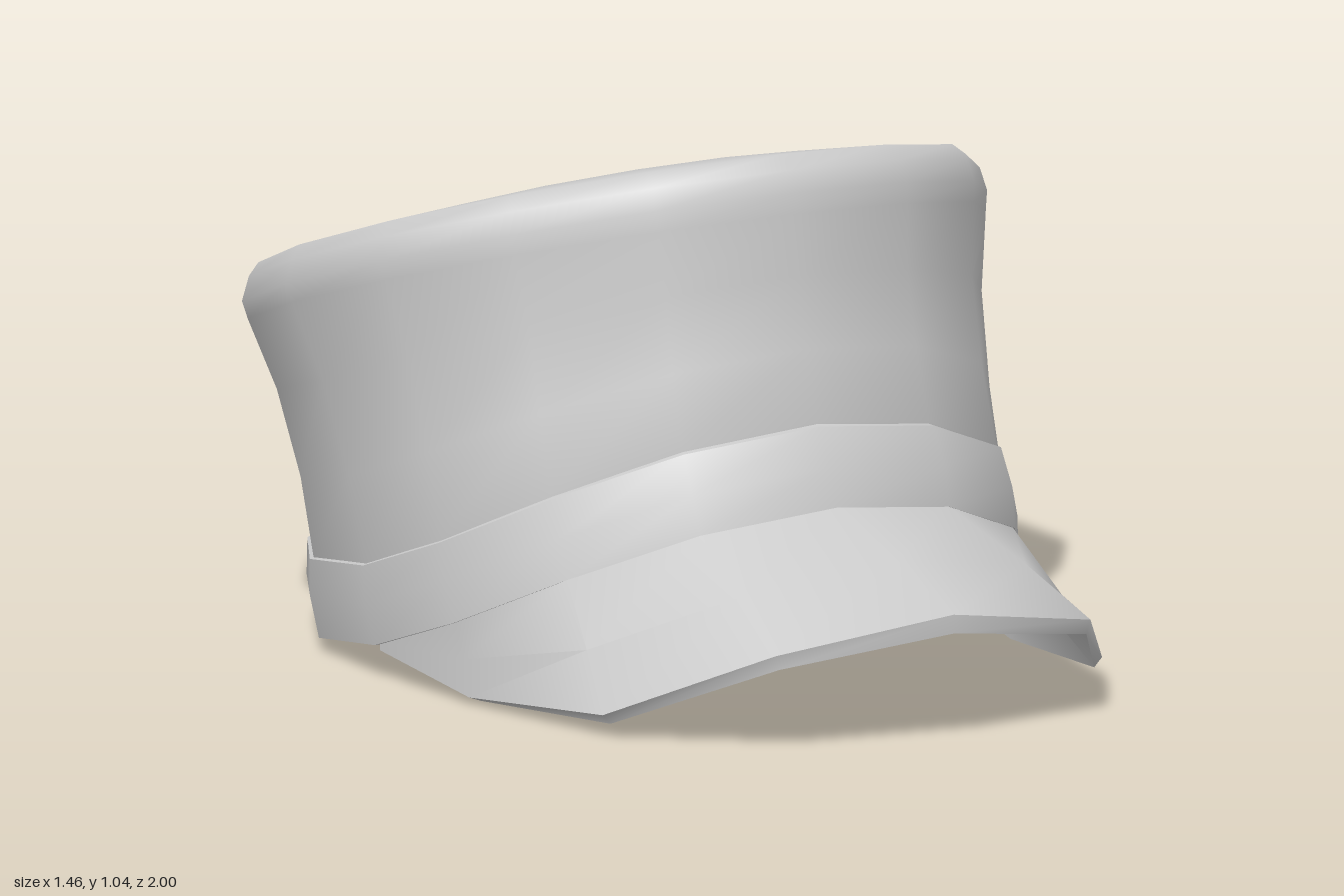
import * as THREE from 'three';
import { toCreasedNormals } from 'three/addons/utils/BufferGeometryUtils.js';

const SIDES = 16;
const material = new THREE.MeshStandardMaterial({ color: 0xcccccc });
// Height curve of the band from front to back, one value per 1/16 turn
const SWEEP = [1, 0.91, 0.68, 0.4, 0.17, 0.065, 0.025, 0.008, 0];

// One tilted ring: front z, back z, half width, front y, back y,
// flat (0 = follows the band's sweep, fuller and wider at the front, 1 = a plain tilted ellipse)
function ring([zf, zb, rx, yf, yb, flat]) {
  const points = [];
  for (let k = 0; k <= SIDES; k++) {
    const a = (k / SIDES) * Math.PI * 2;
    const c = Math.cos(a);
    const s = Math.sin(a);
    const t = THREE.MathUtils.lerp(SWEEP[Math.min(k, SIDES - k)], (1 + c) / 2, flat);
    const full = 1 + (1 - flat) * c * (c > 0 ? 0.12 : -0.04);
    const forward = (1 - flat) * 0.065 * s * s;
    points.push(new THREE.Vector3(rx * full * s, yb + (yf - yb) * t, (zf + zb) / 2 + ((zf - zb) / 2) * c + forward));
  }
  return points;
}

// Skin over rows of points
function loft(name, rows, crease) {
  const n = rows[0].length;
  const index = [];
  for (let i = 0; i < rows.length - 1; i++) {
    for (let k = 0; k < n - 1; k++) {
      const a = i * n + k, b = a + 1, c = a + n, d = c + 1;
      index.push(a, b, d, a, d, c);
    }
  }
  const geometry = new THREE.BufferGeometry().setFromPoints(rows.flat());
  geometry.setIndex(index);
  const mesh = new THREE.Mesh(toCreasedNormals(geometry, crease), material);
  mesh.name = name;
  return mesh;
}

// Crown wall from the band up to the rim
const CROWN_WALL = [
  [0.468, -0.88, 0.635, 0.49, 0.11, 0],
  [0.472, -0.893, 0.645, 0.545, 0.16, 0],
  [0.43, -0.905, 0.655, 0.68, 0.28, 0.3],
  [0.405, -0.945, 0.68, 0.82, 0.4, 0.7],
  [0.397, -0.99, 0.722, 0.94, 0.495, 1],
  [0.39, -1, 0.73, 0.98, 0.525, 1],
  [0.375, -0.987, 0.716, 1.022, 0.577, 1],
  [0.335, -0.965, 0.695, 1.046, 0.603, 1],
];
const TOP_CENTRE = [-0.32, -0.32, 0, 0.855, 0.855, 1];
const INNER_LIP = [0.503, -0.85, 0.605, 0.4, 0.035, 0];

// Visor edges, from the centre to the model's left side
const VISOR_INNER = [[0, 0.39, 0.535], [0.275, 0.358, 0.495], [0.495, 0.268, 0.37], [0.622, 0.16, 0.16], [0.64, 0.078, -0.1]];
const VISOR_OUTER = [[0, 0.26, 1], [0.35, 0.2, 0.92], [0.555, 0.05, 0.61], [0.615, 0.018, 0.2], [0.64, 0.06, -0.1]];

function mirrorRow(half) {
  const left = half.map((p) => new THREE.Vector3(...p));
  const right = left.slice(1).reverse().map((p) => new THREE.Vector3(-p.x, p.y, p.z));
  return [...right, ...left];
}

function createVisor() {
  const inner = mirrorRow(VISOR_INNER);
  const outer = mirrorRow(VISOR_OUTER);
  const middle = inner.map((p, k) => {
    const m = p.clone().lerp(outer[k], 0.55);
    m.y += 0.008;
    return m;
  });
  // Thickness goes down at the centre and inwards at the sides
  const under = (row) => row.map((p, k) => {
    const s = (k - 4) / 4;
    const drop = 0.037 * (1 - Math.abs(s));
    return new THREE.Vector3(p.x - 0.035 * s, Math.max(p.y - drop, 0.008), p.z);
  });
  // Underside runs on to the inner lip of the band
  const tuck = inner.map((p) => new THREE.Vector3(p.x * 0.935, p.y + 0.02, p.z - 0.045));
  return loft('visor', [tuck, under(inner), under(middle), under(outer), outer, middle, inner], 0.75);
}

export function createModel() {
  const group = new THREE.Group();
  group.name = 'cap';

  // Crown: flared wall, rounded rim and gently domed top
  const dome = [0.12, -0.76, 0.46, 1.002, 0.69, 1];
  group.add(loft('crown', [...CROWN_WALL, dome, TOP_CENTRE].map(ring), 1));

  // Band with a thick lower edge
  group.add(loft('band', [
    INNER_LIP,
    [0.515, -0.86, 0.615, 0.385, 0.005, 0],
    [0.55, -0.885, 0.65, 0.39, 0.005, 0],
    [0.525, -0.9, 0.66, 0.465, 0.085, 0],
    [0.485, -0.9, 0.653, 0.538, 0.155, 0],
    [0.465, -0.888, 0.638, 0.541, 0.16, 0],
  ].map(ring), 0.9));

  // Lining: the crown wall set inwards and facing in
  const inset = ([zf, zb, rx, yf, yb, flat]) => [zf - 0.02, zb + 0.02, rx - 0.02, yf - 0.02, yb - 0.02, flat];
  const ceiling = [-0.32, -0.32, 0, 0.83, 0.83, 1];
  group.add(loft('lining', [ceiling, ...CROWN_WALL.map(inset).reverse(), INNER_LIP].map(ring), 0.9));

  group.add(createVisor());
  return group;
}
